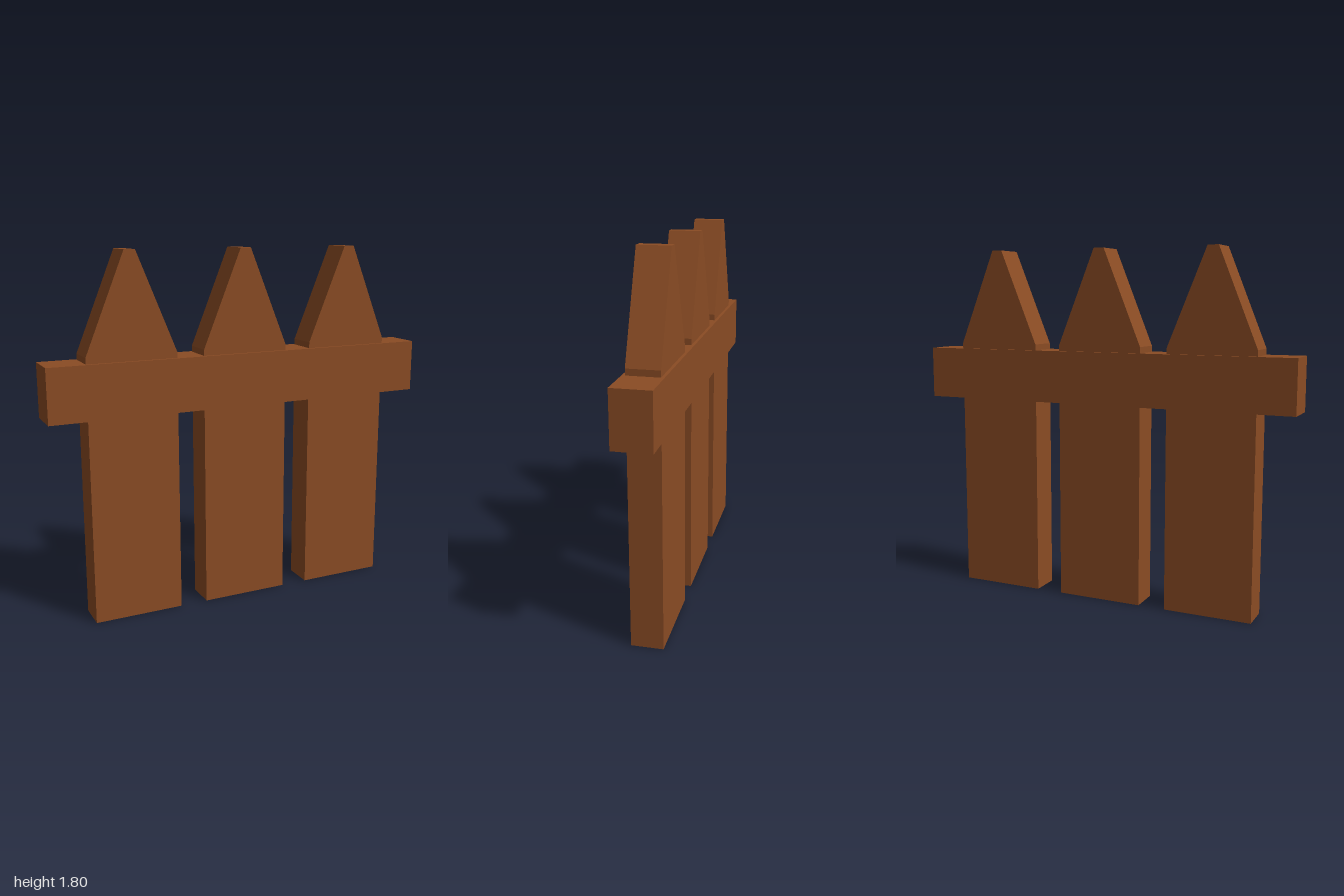
import * as THREE from 'three';

export function createModel() {
  const group = new THREE.Group();
  group.name = 'picketFence';
  const wood = new THREE.MeshStandardMaterial({ color: 0x8b4c24 });
  wood.name = 'brownWood';

  // Pointed board with a small flat tip
  const half = 0.224, tip = 0.027, shoulder = 1.315, height = 1.797, depth = 0.154;
  const outline = new THREE.Shape([
    [-half, 0], [half, 0], [half, shoulder], [tip, height], [-tip, height], [-half, shoulder],
  ].map(([x, y]) => new THREE.Vector2(x, y)));
  const picketGeometry = new THREE.ExtrudeGeometry(outline, { depth, bevelEnabled: false });
  picketGeometry.translate(0, 0, -depth / 2);

  ['rightPicket', 'middlePicket', 'leftPicket'].forEach((name, i) => {
    const picket = new THREE.Mesh(picketGeometry, wood);
    picket.name = name;
    picket.position.x = (i - 1) * 0.587;
    group.add(picket);
  });

  // Horizontal rail wrapping the boards
  const rail = new THREE.Mesh(new THREE.BoxGeometry(2, 0.266, 0.184), wood);
  rail.name = 'rail';
  rail.position.y = 1.152;
  group.add(rail);

  return group;
}
